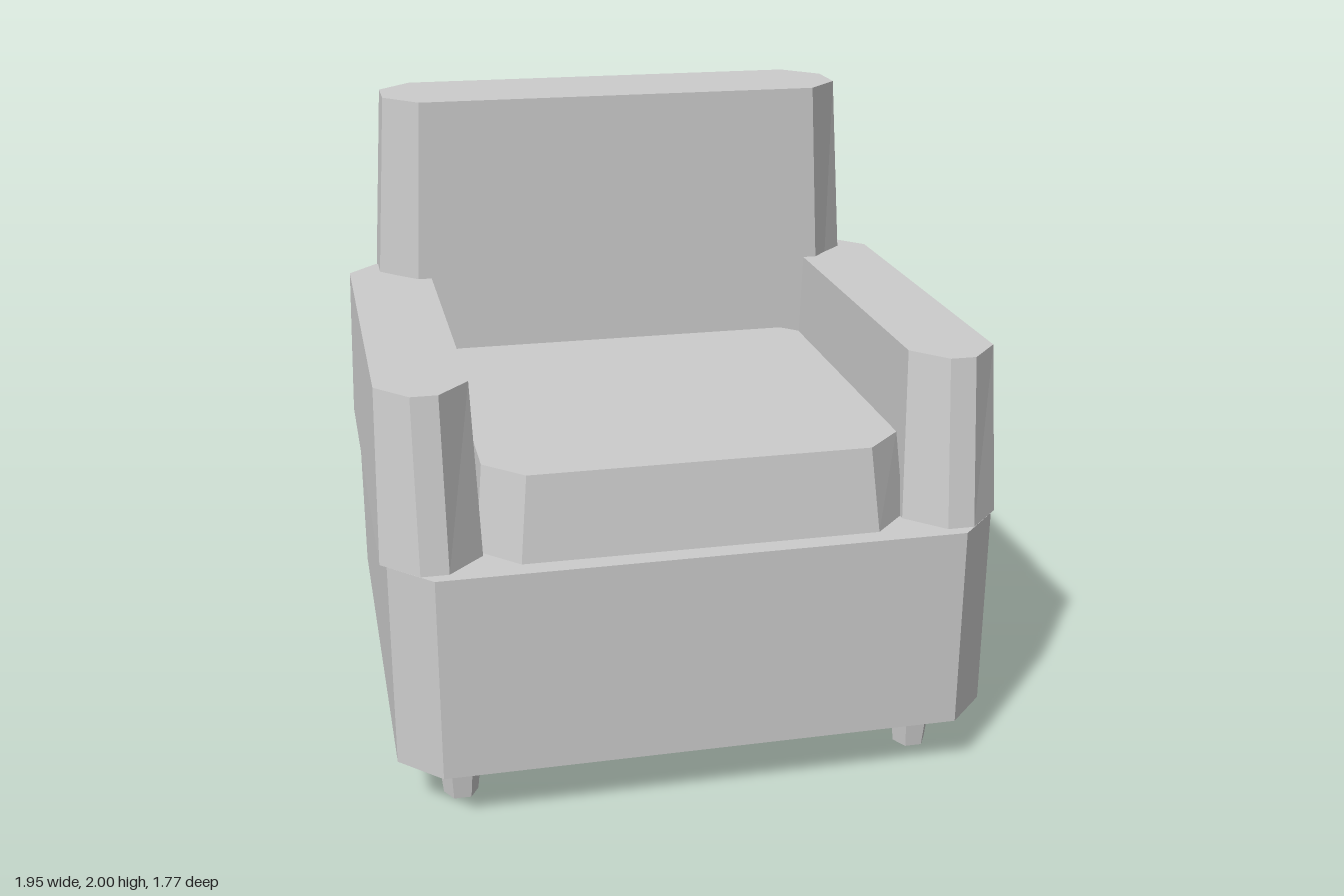
import * as THREE from 'three';

// Eight-cornered outline: a rectangle with its corners cut off
function outline({ x: [x0, x1], z: [z0, z1], cut: [cx, cz] }) {
  return [
    [x1, z0 + cz], [x1, z1 - cz], [x1 - cx, z1], [x0 + cx, z1],
    [x0, z1 - cz], [x0, z0 + cz], [x0 + cx, z0], [x1 - cx, z0],
  ];
}

// Closed block between a lower and an upper outline
function taperedBlock(y0, y1, lower, upper) {
  const a = outline(lower).map(([x, z]) => [x, y0, z]);
  const b = outline(upper).map(([x, z]) => [x, y1, z]);
  const pos = [];
  const tri = (...corners) => corners.forEach((c) => pos.push(...c));
  const n = a.length;
  for (let i = 0; i < n; i++) {
    const j = (i + 1) % n;
    tri(a[i], b[i], a[j]);
    tri(b[i], b[j], a[j]);
    if (i > 0 && i < n - 1) {
      tri(b[0], b[j], b[i]);
      tri(a[0], a[i], a[j]);
    }
  }
  const geometry = new THREE.BufferGeometry();
  geometry.setAttribute('position', new THREE.Float32BufferAttribute(pos, 3));
  geometry.computeVertexNormals();
  return geometry;
}

export function createModel() {
  const model = new THREE.Group();
  model.name = 'armchair';
  const grey = new THREE.MeshStandardMaterial({ color: 0xcccccc, flatShading: true });
  grey.name = 'light grey';

  const add = (name, geometry) => {
    const mesh = new THREE.Mesh(geometry, grey);
    mesh.name = name;
    model.add(mesh);
    return mesh;
  };

  // Base with straight sides
  const plan = { x: [-0.955, 0.955], z: [-0.885, 0.885], cut: [0.13, 0.13] };
  add('base', taperedBlock(0.18, 0.845, plan, plan));

  // Seat cushion, running a little way under the backrest
  add('seatCushion', taperedBlock(0.845, 1.115,
    { x: [-0.68, 0.68], z: [-0.53, 0.82], cut: [0.12, 0.12] },
    { x: [-0.655, 0.655], z: [-0.51, 0.785], cut: [0.12, 0.115] }));

  // Backrest, narrowing upwards
  add('backrest', taperedBlock(0.845, 2,
    { x: [-0.89, 0.89], z: [-0.885, -0.445], cut: [0.135, 0.13] },
    { x: [-0.815, 0.815], z: [-0.87, -0.46], cut: [0.115, 0.123] }));

  // Armrests, overhanging the base slightly
  for (const [side, s] of [['left', 1], ['right', -1]]) {
    const span = (inner, outer) => (s > 0 ? [inner, outer] : [-outer, -inner]);
    add(side + 'Armrest', taperedBlock(0.845, 1.38,
      { x: span(0.665, 0.975), z: [-0.75, 0.845], cut: [0.112, 0.11] },
      { x: span(0.683, 0.962), z: [-0.685, 0.77], cut: [0.098, 0.105] }));
  }

  // Four six-sided legs
  const leg = new THREE.CylinderGeometry(0.075, 0.055, 0.18, 6).rotateY(Math.PI / 6);
  for (const [end, z] of [['front', 0.67], ['back', -0.665]]) {
    for (const [side, x] of [['Left', 0.755], ['Right', -0.755]]) {
      add(end + side + 'Leg', leg).position.set(x, 0.09, z);
    }
  }

  return model;
}
